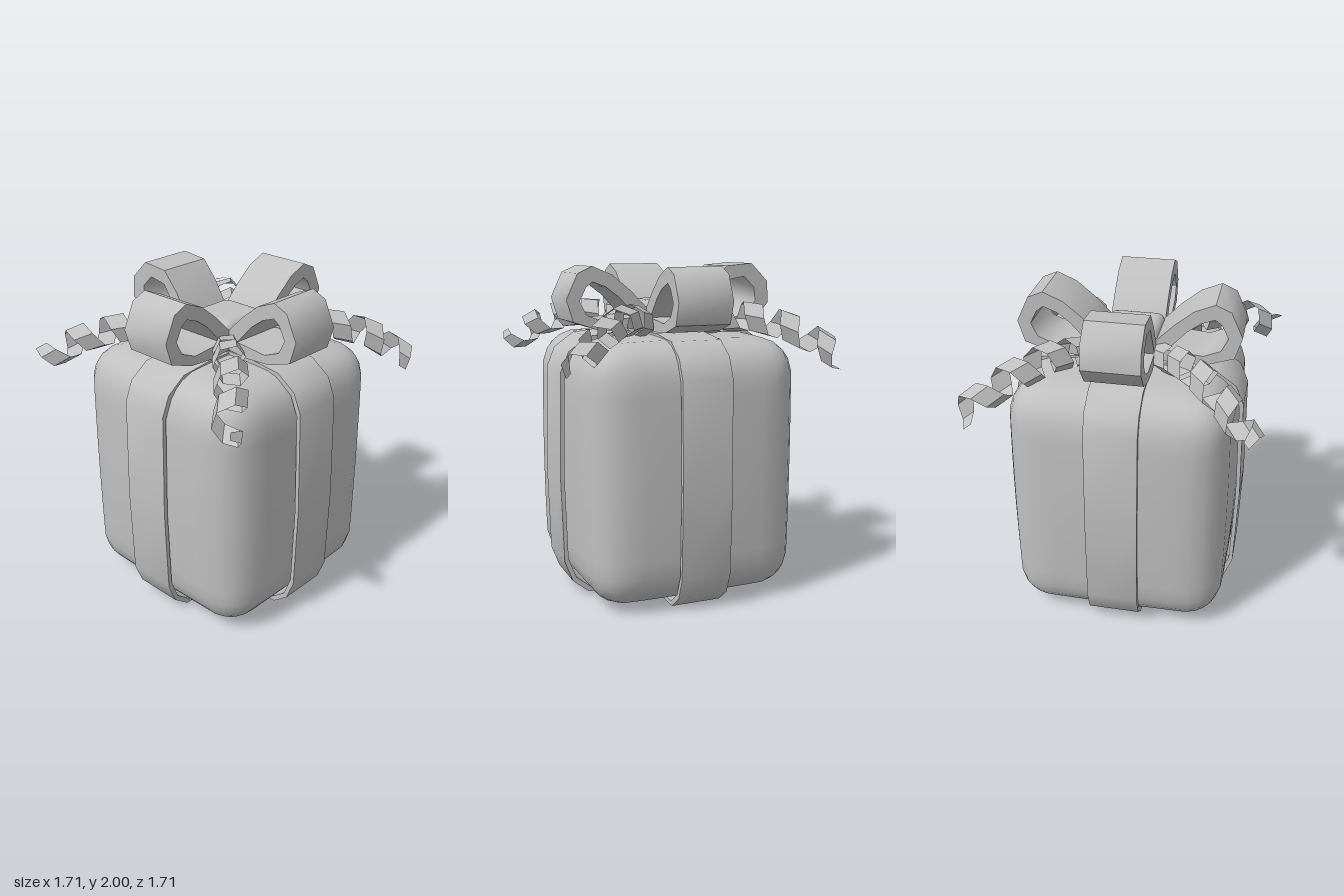
import * as THREE from 'three';
import { toCreasedNormals, mergeVertices } from 'three/addons/utils/BufferGeometryUtils.js';
import { RoundedBoxGeometry } from 'three/addons/geometries/RoundedBoxGeometry.js';

const pts = (list) => list.map(([x, y]) => new THREE.Vector2(x, y));

// Pillow-like box: corners rounded to a radius, then each face bulged at its middle.
function pillowBox(half, radius, bulge) {
  const geo = new THREE.BoxGeometry(half.x * 2, half.y * 2, half.z * 2, 14, 16, 14);
  geo.deleteAttribute('uv');
  geo.deleteAttribute('normal');
  const pos = geo.attributes.position, p = new THREE.Vector3(), q = new THREE.Vector3();
  const core = half.clone().subScalar(radius), low = core.clone().negate();
  for (let i = 0; i < pos.count; i++) {
    p.fromBufferAttribute(pos, i);
    q.copy(p).clamp(low, core);
    p.sub(q).setLength(radius).add(q);
    const [x, y, z] = p.clone().divide(half).toArray().map((v) => 1 - v * v);
    pos.setXYZ(i, p.x * (1 + bulge * y * z), p.y * (1 + bulge * 0.6 * x * z), p.z * (1 + bulge * x * y));
  }
  const smooth = mergeVertices(geo);
  smooth.computeVertexNormals();
  return smooth;
}

// Closed strip: an outline with a hole, extruded to the ribbon width and centred.
function strip(outer, inner, width) {
  const shape = new THREE.Shape(pts(outer));
  shape.holes.push(new THREE.Path(pts(inner)));
  const geo = new THREE.ExtrudeGeometry(shape, { depth: width, bevelEnabled: false });
  geo.translate(0, 0, -width / 2);
  return toCreasedNormals(geo, 0.75);
}

// Curled ribbon: a helix around a path, swept with a width along that path.
function curl(path, turns, phase) {
  const steps = Math.round(turns * 6), pos = [], index = [];
  const up = new THREE.Vector3(0, 1, 0);
  for (let i = 0; i <= steps; i++) {
    const t = i / steps;
    const p = path.getPoint(t), dir = path.getTangent(t);
    const side = new THREE.Vector3().crossVectors(up, dir).normalize();
    const rise = new THREE.Vector3().crossVectors(dir, side);
    const a = phase + t * turns * Math.PI * 2;
    const r = 0.08 + 0.015 * Math.sin(t * Math.PI);
    p.addScaledVector(side, Math.cos(a) * r).addScaledVector(rise, Math.sin(a) * r);
    const half = 0.06 * Math.min(1, 0.4 + (1 - t) * 6);
    for (const s of [-half, half]) pos.push(...p.clone().addScaledVector(dir, s).toArray());
    if (i < steps) {
      const k = i * 2;
      index.push(k, k + 1, k + 2, k + 1, k + 3, k + 2);
    }
  }
  const geo = new THREE.BufferGeometry();
  geo.setAttribute('position', new THREE.Float32BufferAttribute(pos, 3));
  geo.setIndex(index);
  return toCreasedNormals(geo, 0.5);
}

export function createModel() {
  const group = new THREE.Group();
  const grey = new THREE.MeshStandardMaterial({ color: 0xc0c0c0, side: THREE.DoubleSide });
  grey.name = 'plain grey';
  const add = (name, geo, turn = 0) => {
    const mesh = new THREE.Mesh(geo, grey);
    mesh.name = name;
    mesh.rotation.y = turn;
    group.add(mesh);
    return mesh;
  };

  // Soft, slightly bulging box
  add('giftBox', pillowBox(new THREE.Vector3(0.64, 0.765, 0.64), 0.21, 0.05)).position.y = 0.803;

  // Two bands wrapped around the box
  const half = [[0.54, 0.01], [0.64, 0.09], [0.69, 0.22], [0.705, 0.75], [0.69, 1.38],
    [0.64, 1.5], [0.52, 1.585], [0.3, 1.61]];
  const outer = [...half, ...half.map(([x, y]) => [-x, y]).reverse()];
  const inner = outer.map(([x, y]) => [x * 0.965, 0.81 + (y - 0.81) * 0.97]);
  add('sideBand', strip(outer, inner, 0.31)).position.x = 0.01;
  add('frontBand', strip(outer, inner, 0.31), Math.PI / 2).position.y = -0.01;

  // Four bow loops around a central knot; one is fuller than the rest
  const loop = strip(
    [[0.12, 1.63], [0.15, 1.73], [0.27, 1.85], [0.38, 1.94], [0.5, 1.99],
      [0.59, 1.95], [0.66, 1.8], [0.62, 1.67], [0.47, 1.62], [0.3, 1.61]],
    [[0.23, 1.69], [0.34, 1.81], [0.42, 1.87], [0.5, 1.9],
      [0.54, 1.87], [0.58, 1.79], [0.54, 1.71], [0.44, 1.67]], 0.335);
  const fullLoop = strip(
    [[0.12, 1.63], [0.18, 1.74], [0.26, 1.87], [0.36, 1.985], [0.53, 2.0],
      [0.64, 1.89], [0.65, 1.76], [0.56, 1.65], [0.42, 1.61], [0.3, 1.61]],
    [[0.23, 1.69], [0.3, 1.8], [0.37, 1.9], [0.48, 1.92],
      [0.55, 1.85], [0.56, 1.77], [0.51, 1.7], [0.42, 1.67]], 0.335);
  add('leftBowLoop', loop);
  add('backBowLoop', loop, Math.PI / 2);
  add('rightBowLoop', fullLoop, Math.PI);
  add('frontBowLoop', loop, -Math.PI / 2);
  add('bowKnot', new RoundedBoxGeometry(0.34, 0.21, 0.34, 2, 0.05)).position.y = 1.68;

  // Curled ribbon ends, one to each corner
  const ends = [[0.76, 0.82], [-0.79, 0.79], [0.79, -0.75], [-0.77, -0.83]];
  ends.forEach(([x, z], i) => {
    const sx = Math.sign(x), sz = Math.sign(z);
    const path = new THREE.CatmullRomCurve3([
      new THREE.Vector3(0.2 * sx, 1.66, 0.22 * sz),
      new THREE.Vector3(0.37 * sx, 1.69, 0.38 * sz),
      new THREE.Vector3(0.58 * sx, 1.63, 0.59 * sz),
      new THREE.Vector3(x, 1.48, z),
    ]);
    add('curledEnd' + (i + 1), curl(path, 4.2, i * 1.3));
  });
  return group;
}
